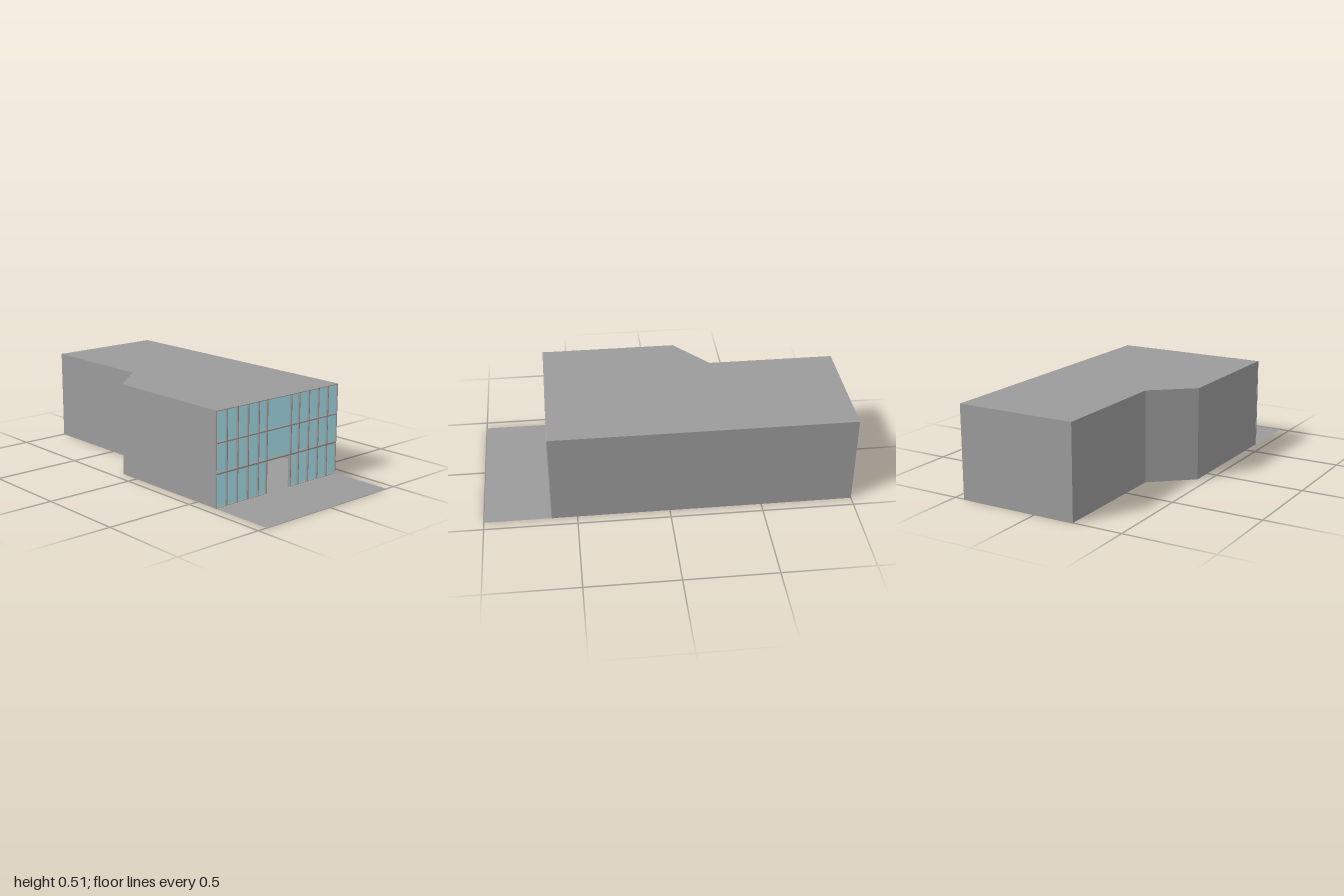
import * as THREE from 'three';

const grey = new THREE.MeshStandardMaterial({ color: 0x9b9b9b, side: THREE.DoubleSide });
const glass = new THREE.MeshStandardMaterial({ color: 0xb3f3fc, side: THREE.DoubleSide });

const H = 0.507, FRONT = 0.632, W = 0.443, SLAB = 0.006;

// Plan outline [x, z], from the front right corner round the back to the front left
const wallLine = [[W, FRONT], [W, -1], [-0.225, -1], [-0.225, -0.3], [-W, -0.115], [-W, FRONT]];

function planShape(frontZ) {
  return new THREE.Shape(wallLine.map(([x, z]) => new THREE.Vector2(x, -(z === FRONT ? frontZ : z))));
}

// Upright bar centred on the origin, with chamfered front edges
function barGeometry(width, length) {
  const w = width / 2, back = -0.006, front = 0.008;
  const section = [[-w, back], [w, back], [w, 0.002], [w * 0.45, front], [-w * 0.45, front], [-w, 0.002]];
  const shape = new THREE.Shape(section.map(([x, z]) => new THREE.Vector2(x, -z)));
  const bar = new THREE.ExtrudeGeometry(shape, { depth: length, bevelEnabled: false });
  return bar.rotateX(-Math.PI / 2).translate(0, -length / 2, 0);
}

export function createModel() {
  const model = new THREE.Group();
  const facade = new THREE.Group();
  facade.name = 'glazedFacade';

  const add = (parent, name, geometry, material = grey) => {
    const mesh = new THREE.Mesh(geometry, material);
    mesh.name = name;
    parent.add(mesh);
    return mesh;
  };

  // Floor, running out in front as a forecourt
  add(model, 'floor', new THREE.ShapeGeometry(planShape(1)).rotateX(-Math.PI / 2));

  // Thin roof slab
  const roof = new THREE.ExtrudeGeometry(planShape(FRONT), { depth: SLAB, bevelEnabled: false });
  add(model, 'roof', roof.rotateX(-Math.PI / 2)).position.y = H - SLAB;

  // Side and back walls
  for (let i = 0; i < wallLine.length - 1; i++) {
    const [x0, z0] = wallLine[i], [x1, z1] = wallLine[i + 1];
    const wall = add(model, 'wall', new THREE.PlaneGeometry(Math.hypot(x1 - x0, z1 - z0), H - SLAB));
    wall.position.set((x0 + x1) / 2, (H - SLAB) / 2, (z0 + z1) / 2);
    wall.rotation.y = Math.atan2(-(z1 - z0), x1 - x0);
  }

  // Facade grid: mullion centres, rail centres and rail heights
  const half = [0.088, 0.148, 0.222, 0.295, 0.368, 0.441];
  const posts = [...half.map((x) => -x).reverse(), ...half];
  const rails = [0.002, 0.18, 0.339, 0.5035];
  const railHeights = [0.004, 0.014, 0.012, 0.007];
  const entrance = 5;

  // Mullions
  for (const x of posts) {
    const width = Math.abs(x) > 0.43 ? 0.007 : 0.011;
    add(facade, 'mullion', barGeometry(width, H)).position.set(x, H / 2, FRONT);
  }

  // Rails and panes, leaving the ground-floor entrance open
  for (let col = 0; col < posts.length - 1; col++) {
    const width = posts[col + 1] - posts[col];
    const x = (posts[col] + posts[col + 1]) / 2;
    rails.forEach((y, row) => {
      if (col === entrance && row === 0) return;
      const rail = add(facade, 'rail', barGeometry(railHeights[row], width).rotateZ(Math.PI / 2));
      rail.position.set(x, y, FRONT);
    });
    for (let row = 0; row < 3; row++) {
      if (col === entrance && row === 0) continue;
      const pane = add(facade, 'windowPane', new THREE.PlaneGeometry(width, rails[row + 1] - rails[row]), glass);
      pane.position.set(x, (rails[row] + rails[row + 1]) / 2, FRONT - 0.002);
    }
  }

  model.add(facade);
  return model;
}
